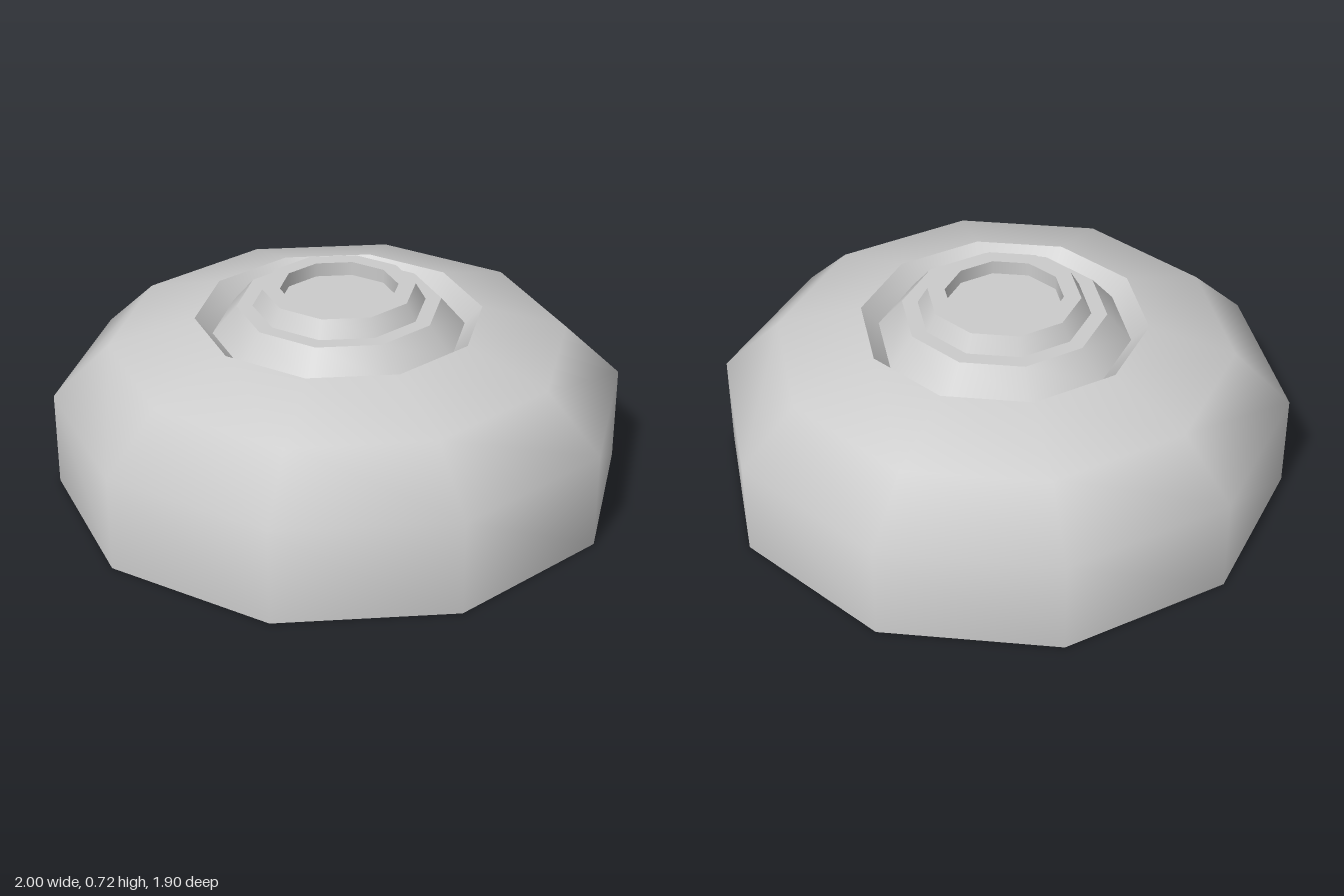
import * as THREE from 'three';

const SIDES = 10;

export function createModel() {
  const group = new THREE.Group();
  const material = new THREE.MeshStandardMaterial({ color: 0xcccccc });

  // Each band turns its own profile, so it is smooth inside and creased at its ends.
  // Profiles run from the underside, up the outside and in to the axis; corners lie on the x axis.
  const band = (name, profile) => {
    const points = profile.map(([r, y]) => new THREE.Vector2(r, y));
    const mesh = new THREE.Mesh(new THREE.LatheGeometry(points, SIDES, Math.PI / 2), material);
    mesh.name = name;
    group.add(mesh);
  };

  // Main domed body
  band('base', [[0, 0], [1, 0]]);
  band('domeBody', [[1, 0], [1, 0.34], [0.8, 0.53], [0.5, 0.62]]);

  // V-shaped groove around the cap
  band('grooveOuterWall', [[0.5, 0.62], [0.44, 0.56]]);
  band('grooveInnerWall', [[0.44, 0.56], [0.355, 0.66]]);

  // Stepped cap with a shallow recess
  band('capStep', [[0.355, 0.66], [0.3, 0.66]]);
  band('capWall', [[0.3, 0.66], [0.265, 0.72]]);
  band('capRim', [[0.265, 0.72], [0.205, 0.72]]);
  band('recessWall', [[0.205, 0.72], [0.205, 0.67]]);
  band('recessFloor', [[0.205, 0.67], [0, 0.67]]);

  return group;
}
